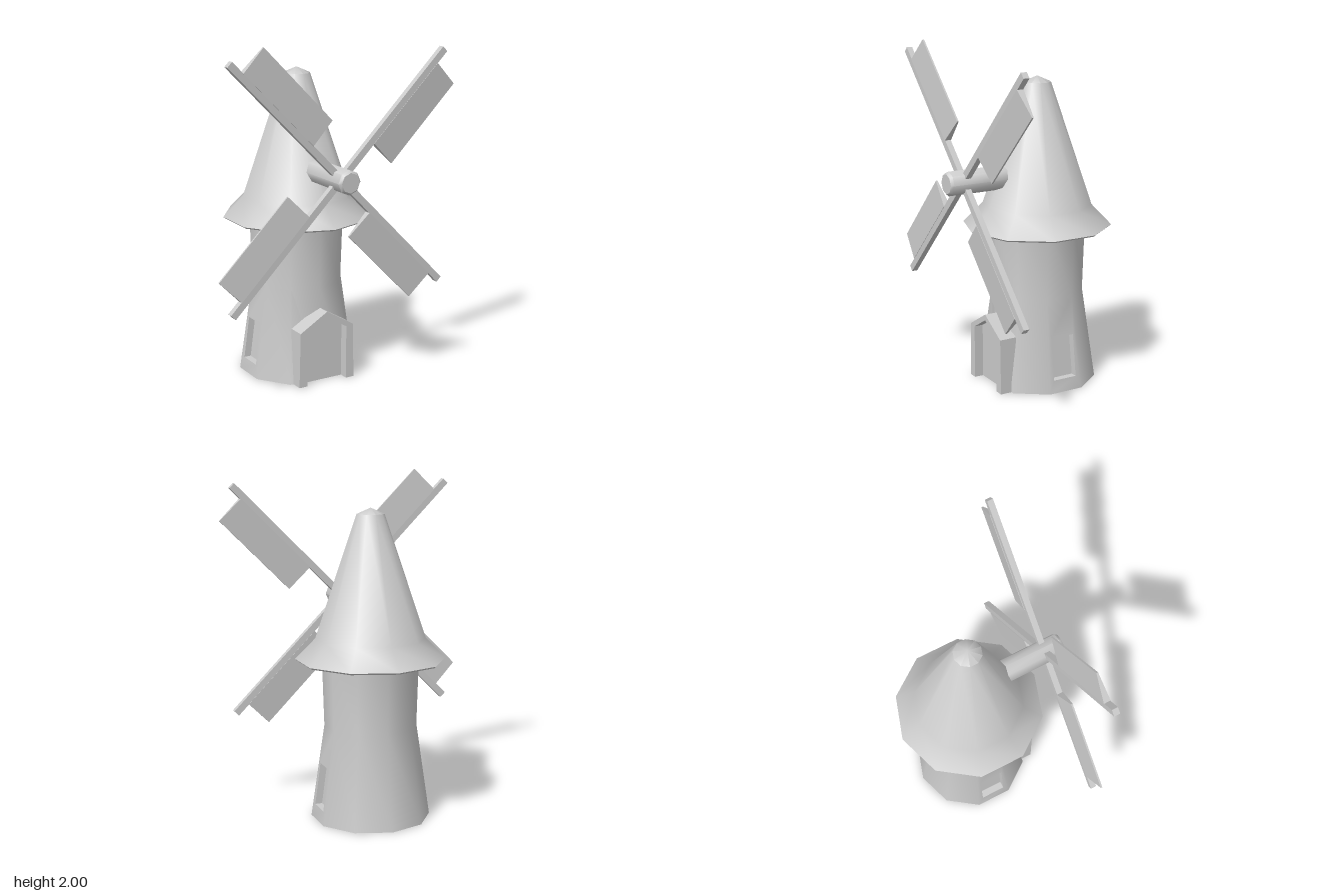
import * as THREE from 'three';
import { mergeGeometries, toCreasedNormals } from 'three/addons/utils/BufferGeometryUtils.js';

const SIDES = 10, AXIS_Z = -0.078, CREASE = 0.9;
const material = new THREE.MeshStandardMaterial({ color: 0xcccccc, side: THREE.DoubleSide });

const vectors = (points) => points.map(([x, y]) => new THREE.Vector2(x, y));
const polygon = (points) => new THREE.Shape(vectors(points));
const rect = (w, y0, y1) => [[-w, y0], [w, y0], [w, y1], [-w, y1]];

function part(name, geometry, crease = CREASE) {
  const mesh = new THREE.Mesh(toCreasedNormals(geometry, crease), material);
  mesh.name = name;
  return mesh;
}

function extrude(shape, z0, z1) {
  const g = new THREE.ExtrudeGeometry(shape, { depth: z1 - z0, bevelEnabled: false });
  return g.translate(0, 0, z0);
}

// Tower profile: radius and height
const PROFILE = [[0.35, 0], [0.27, 0.55], [0.283, 0.98]];
const apothem = (y) => (0.35 - (0.08 * y) / 0.55) * Math.cos(Math.PI / SIDES);

// Lean a geometry's z with the slope of the lower wall, then turn it to a side
function leanToSide(geometry, side) {
  const p = geometry.attributes.position;
  for (let i = 0; i < p.count; i++) p.setZ(i, p.getZ(i) + apothem(p.getY(i)));
  return geometry.rotateY((side * Math.PI) / 2);
}

function towerGeometry() {
  const step = (2 * Math.PI) / SIDES;
  const pieces = [];
  // Front and back arcs over the full height, side faces above the windows
  for (const [start, count, points] of [
    [-2, 4, PROFILE], [3, 4, PROFILE],
    [2, 1, PROFILE.slice(1)], [7, 1, PROFILE.slice(1)],
  ]) {
    pieces.push(new THREE.LatheGeometry(vectors(points), count, start * step, count * step));
  }
  // Lower side faces with a window opening
  const half = Math.sin(Math.PI / SIDES);
  for (const side of [1, -1]) {
    const wall = polygon([[-0.35 * half, 0], [0.35 * half, 0], [0.27 * half, 0.55], [-0.27 * half, 0.55]]);
    wall.holes.push(new THREE.Path(vectors(rect(0.075, 0.075, 0.325))));
    pieces.push(leanToSide(new THREE.ShapeGeometry(wall), side));
  }
  const merged = mergeGeometries(pieces.map((g) => g.toNonIndexed()));
  // Flatten the front behind the door
  const p = merged.attributes.position;
  for (let i = 0; i < p.count; i++) p.setZ(i, Math.min(p.getZ(i), 0.215 - AXIS_Z));
  return merged;
}

function createWindow(side) {
  const group = new THREE.Group();
  group.name = side > 0 ? 'leftWindow' : 'rightWindow';
  const ring = polygon(rect(0.085, 0.065, 0.335));
  ring.holes.push(new THREE.Path(vectors(rect(0.075, 0.075, 0.325))));
  group.add(part('windowRecess', leanToSide(extrude(ring, -0.05, -0.003), side), 0.5));
  group.add(part('windowPane', leanToSide(extrude(polygon(rect(0.08, 0.07, 0.33)), -0.055, -0.045), side), 0.5));
  group.position.z = AXIS_Z;
  return group;
}

function createDoor() {
  const door = new THREE.Group();
  door.name = 'door';
  const outer = [[0.185, 0], [0.177, 0.33], [0, 0.435], [-0.177, 0.33], [-0.185, 0]];
  const inner = [[-0.132, 0], [-0.132, 0.322], [0, 0.4], [0.132, 0.322], [0.132, 0]];
  door.add(part('doorFrame', extrude(polygon([...outer, ...inner]), 0.17, 0.275), 0.5));
  door.add(part('doorPanel', extrude(polygon(inner), 0.205, 0.22), 0.5));
  return door;
}

// One arm pointing up, with a sail that thins toward its outer edge
function createBlade() {
  const blade = new THREE.Group();
  blade.name = 'blade';
  blade.add(part('arm', new THREE.BoxGeometry(0.04, 0.963, 0.035).translate(0, 0.4815, 0), 0.5));
  const sail = new THREE.BoxGeometry(0.18, 0.595, 0.04).translate(0.108, 0.575, 0);
  const p = sail.attributes.position;
  for (let i = 0; i < p.count; i++) if (p.getX(i) > 0.1) p.setZ(i, p.getZ(i) * 0.25);
  blade.add(part('sail', sail, 0.2));
  return blade;
}

export function createModel() {
  const model = new THREE.Group();
  model.name = 'windmill';

  const tower = part('tower', towerGeometry());
  tower.position.z = AXIS_Z;
  model.add(tower, createWindow(1), createWindow(-1), createDoor());

  // Flared roof with a shallow underside
  const roofProfile = [[0.27, 0.97], [0.425, 0.935], [0.437, 0.945], [0.32, 1.065], [0.08, 1.78], [0, 1.815]];
  const roof = part('roof', new THREE.LatheGeometry(vectors(roofProfile), SIDES));
  roof.position.z = AXIS_Z;
  model.add(roof);

  // Rotor: hub shaft and four blades
  const rotor = new THREE.Group();
  rotor.name = 'rotor';
  rotor.position.y = 1.245;
  const hubProfile = [[0, 0.05], [0.071, 0.05], [0.071, 0.5], [0.058, 0.516], [0, 0.516]];
  rotor.add(part('hub', new THREE.LatheGeometry(vectors(hubProfile), 8).rotateX(Math.PI / 2)));
  for (let i = 0; i < 4; i++) {
    const blade = createBlade();
    blade.position.z = 0.407;
    blade.rotation.z = Math.PI / 4 + (i * Math.PI) / 2;
    rotor.add(blade);
  }
  model.add(rotor);
  return model;
}
